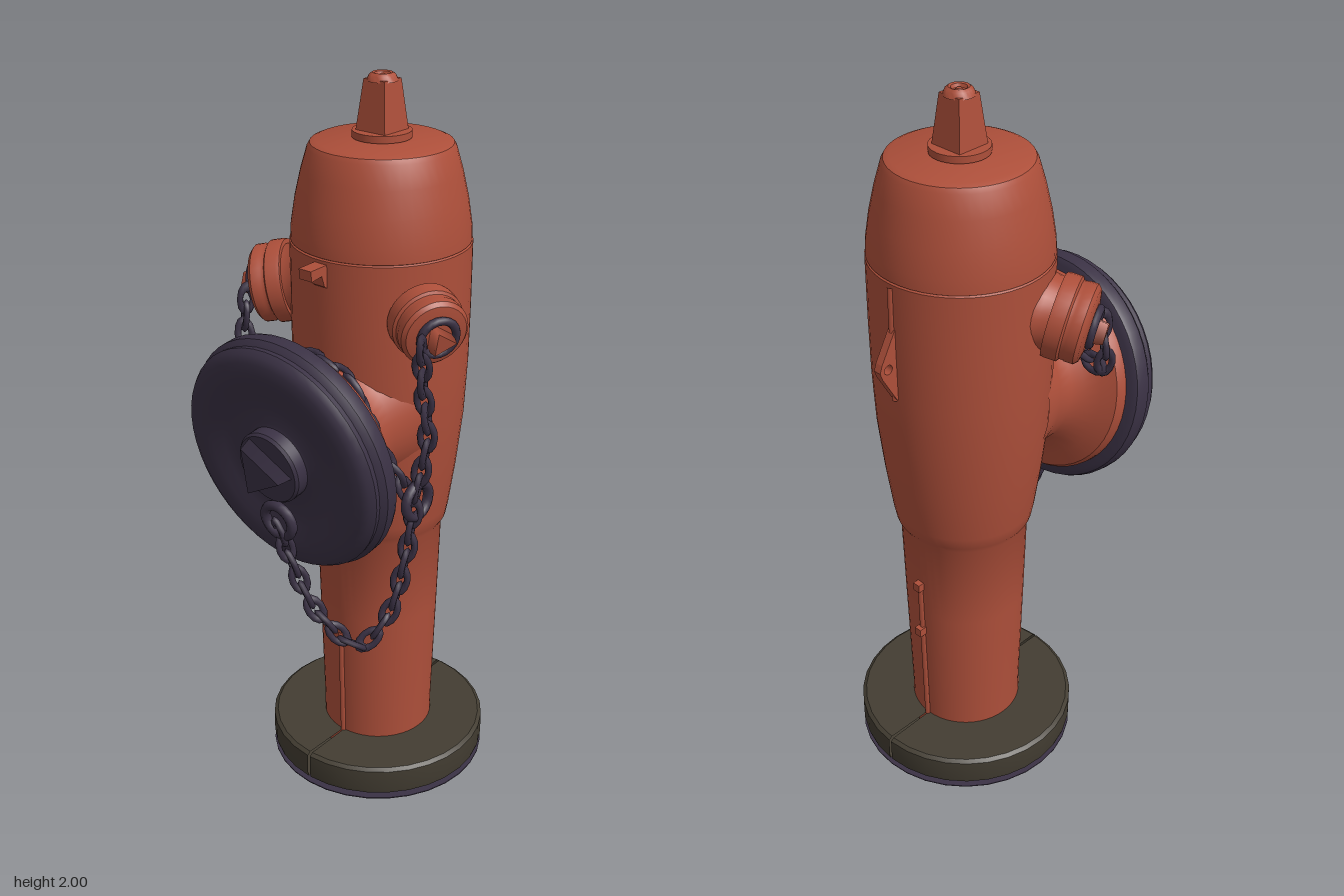
import * as THREE from 'three';
import { toCreasedNormals } from 'three/addons/utils/BufferGeometryUtils.js';

const material = (name, color) => {
  const m = new THREE.MeshStandardMaterial({ color });
  m.name = name;
  return m;
};
const V = (x, y, z) => new THREE.Vector3(x, y, z);
const UP = V(0, 1, 0);

export function createModel() {
  const model = new THREE.Group();
  const red = material('red paint', 0xad4f3a);
  const iron = material('dark iron', 0x3a3144);
  const stone = material('base grey', 0x433d32);
  stone.side = THREE.DoubleSide;
  const CX = 0.01, CZ = -0.0875;

  const add = (parent, name, geometry, mat, x = 0, y = 0, z = 0) => {
    const mesh = new THREE.Mesh(geometry, mat);
    mesh.name = name;
    mesh.position.set(x, y, z);
    parent.add(mesh);
    return mesh;
  };
  const lathe = (points, segments = 48, start = 0, length = Math.PI * 2) =>
    toCreasedNormals(new THREE.LatheGeometry(
      points.map(p => new THREE.Vector2(...p)), segments, start, length), 0.6);
  // group whose local y axis points outward along a direction
  const outward = (name, position, direction) => {
    const g = new THREE.Group();
    g.name = name;
    g.position.copy(position);
    g.quaternion.setFromUnitVectors(UP, direction.clone().normalize());
    model.add(g);
    return g;
  };

  // base ring in two halves, with a narrow seam at front and back
  for (let i = 0; i < 2; i++) {
    add(model, 'baseHalf', lathe([[0.13, 0.02], [0.31, 0.02], [0.3125, 0.03], [0.3125, 0.095],
      [0.302, 0.103], [0.13, 0.103]], 16, i * Math.PI + 0.012, Math.PI - 0.024), stone, CX, 0, CZ);
  }
  add(model, 'basePlate', new THREE.CylinderGeometry(0.3125, 0.3125, 0.003, 32), iron, CX, 0.0015, CZ);

  // standpipe and barrel
  add(model, 'barrel', lathe([[0.158, 0.03], [0.158, 0.15], [0.168, 0.5], [0.175, 0.765], [0.187, 0.785],
    [0.194, 0.82], [0.212, 0.95], [0.228, 1.1], [0.235, 1.25], [0.237, 1.4], [0.237, 1.578], [0.23, 1.583]]),
    red, CX, 0, CZ);
  // bonnet
  add(model, 'bonnet', lathe([[0.225, 1.577], [0.235, 1.583], [0.233, 1.62], [0.222, 1.69], [0.206, 1.76],
    [0.189, 1.818], [0.182, 1.83], [0.168, 1.836], [0, 1.84]]), red, CX, 0, CZ);
  add(model, 'bonnetWasher', new THREE.CylinderGeometry(0.076, 0.076, 0.018, 32), red, CX, 1.85, CZ);
  // tapered square operating nut
  const nut = new THREE.CylinderGeometry(0.047, 0.067, 0.13, 4).toNonIndexed();
  nut.computeVertexNormals();
  add(model, 'topNut', nut, red, CX, 1.92, CZ).rotation.y = Math.PI / 4;
  add(model, 'topNutTip', lathe([[0.04, 1.98], [0.034, 1.994], [0.026, 2.0], [0.02, 1.998], [0.016, 1.99],
    [0.01, 1.99], [0.007, 1.995], [0, 1.995]], 24), red, CX, 0, CZ);

  // casting seams with knobs at the rear
  const seam = (name, y0, y1, z0, z1) => add(model, name, new THREE.TubeGeometry(
    new THREE.LineCurve3(V(CX, y0, CZ + z0), V(CX, y1, CZ + z1)), 1, 0.008, 6), red);
  seam('frontSeam', 0.1, 0.45, 0.159, 0.167);
  seam('rearSeam', 0.1, 0.61, -0.16, -0.173);
  seam('rearBarrelSeam', 1.25, 1.57, -0.235, -0.236);
  for (const y of [0.44, 0.605]) {
    add(model, 'seamKnob', new THREE.BoxGeometry(0.022, 0.025, 0.03), red, CX, y, CZ - 0.174);
  }

  // rear lug with a hole
  const lug = new THREE.Shape([[0, -0.1], [0.045, -0.02], [0.052, 0], [0.045, 0.02], [0, 0.1], [-0.02, 0.1], [-0.02, -0.1]]
    .map(p => new THREE.Vector2(...p)));
  lug.holes.push(new THREE.Path().absarc(0.025, 0, 0.013, 0, Math.PI * 2, true));
  add(model, 'rearLug', new THREE.ExtrudeGeometry(lug, { depth: 0.022, bevelEnabled: false }),
    red, CX - 0.011, 1.355, -0.325).rotation.y = Math.PI / 2;

  // front hook beneath the bonnet
  const hook = new THREE.Shape([[0, 0], [0, -0.055], [0.015, -0.045], [0.025, -0.015], [0.062, -0.02], [0.065, 0.008], [0, 0.01]]
    .map(p => new THREE.Vector2(...p)));
  add(model, 'frontHook', new THREE.ExtrudeGeometry(hook, { depth: 0.04, bevelEnabled: false }),
    red, CX + 0.02, 1.56, 0.142).rotation.y = -Math.PI / 2;

  // large front outlet, tipped slightly downward
  const front = outward('frontOutlet', V(CX, 1.085, 0.33), V(0, -0.15, 0.99));
  add(front, 'frontNeck', lathe([[0.22, -0.33], [0.19, -0.25], [0.185, -0.2], [0.2, -0.17], [0.24, -0.145],
    [0.28, -0.128], [0.288, -0.115], [0.288, -0.08]]), red);
  add(front, 'frontCap', lathe([[0.2, -0.1], [0.305, -0.1], [0.32, -0.092], [0.325, -0.08], [0.325, -0.052],
    [0.318, -0.042], [0.312, -0.036], [0.314, -0.022], [0.304, -0.006], [0.285, 0.003], [0.255, 0.006],
    [0.225, 0.003], [0.19, -0.008], [0.15, -0.015], [0.11, -0.013], [0.1, -0.01],
    [0.1, 0.022], [0.094, 0.03], [0, 0.03]]), iron);
  add(front, 'frontCapNut', new THREE.CylinderGeometry(0.078, 0.09, 0.045, 3, 1, false, Math.PI / 2)
    .toNonIndexed(), iron, -0.005, 0.046, 0);

  // pair of smaller side outlets
  for (const [side, r, x, y, z] of [[1, 0.09, 0.298, 1.425, 0.05], [-1, 0.104, -0.285, 1.425, 0.06]]) {
    const g = outward(side > 0 ? 'leftOutlet' : 'rightOutlet', V(x, y, z), V(side * 0.86, -0.2, 0.46));
    add(g, 'outletNeck', lathe([[r * 1.5, -0.2], [r * 1.15, -0.15], [r * 0.95, -0.115], [r * 0.92, -0.09],
      [r * 1.04, -0.09], [r * 1.06, -0.08], [r * 1.06, -0.05], [r * 0.98, -0.045], [r * 0.98, -0.035],
      [r, -0.03], [r, -0.008], [r * 0.9, 0.002], [r * 0.6, 0.008], [0, 0.008]], 32), red);
    add(g, 'outletNut', new THREE.CylinderGeometry(0.036, 0.044, 0.04, 3, 1, false, 0.5).toNonIndexed(), red, 0, 0.027, 0);
    add(g, 'nutRing', new THREE.TorusGeometry(0.048, 0.011, 8, 20), iron, 0, 0.014, 0).rotation.x = Math.PI / 2;
  }

  // chains of alternating oval links
  const link = new THREE.TorusGeometry(0.019, 0.009, 6, 12).scale(1, 1.75, 1);
  const chain = (name, points) => {
    const g = new THREE.Group();
    g.name = name;
    model.add(g);
    const curve = new THREE.CatmullRomCurve3(points.map(p => V(...p)));
    const count = Math.round(curve.getLength() / 0.052);
    for (let i = 0; i <= count; i++) {
      const p = curve.getPointAt(i / count);
      const m = add(g, 'chainLink', link, iron, p.x, p.y, p.z);
      m.quaternion.setFromUnitVectors(UP, curve.getTangentAt(i / count));
      m.rotateY(i % 2 ? 0.4 : 0.4 + Math.PI / 2);
    }
  };
  chain('frontCapChain', [[0.02, 0.89, 0.33], [0.045, 0.78, 0.305], [0.09, 0.64, 0.265], [0.165, 0.53, 0.185],
    [0.22, 0.62, 0.13], [0.25, 0.78, 0.1], [0.265, 0.93, 0.085]]);
  chain('leftOutletChain', [[0.27, 1.0, 0.075], [0.29, 1.15, 0.065], [0.285, 1.28, 0.08], [0.297, 1.4, 0.105]]);
  chain('rightOutletChain', [[-0.28, 1.4, 0.12], [-0.285, 1.28, 0.12], [-0.13, 1.3, 0.145], [0, 1.325, 0.175],
    [0.14, 1.29, 0.185], [0.2, 1.15, 0.165], [0.25, 1.0, 0.1]]);
  add(model, 'frontCapRing', new THREE.TorusGeometry(0.046, 0.014, 8, 24), iron, 0.02, 0.925, 0.333).rotation.x = 0.15;
  add(model, 'joiningRing', new THREE.TorusGeometry(0.046, 0.014, 8, 24), iron, 0.27, 0.965, 0.075).rotation.y = Math.PI / 2;

  return model;
}
